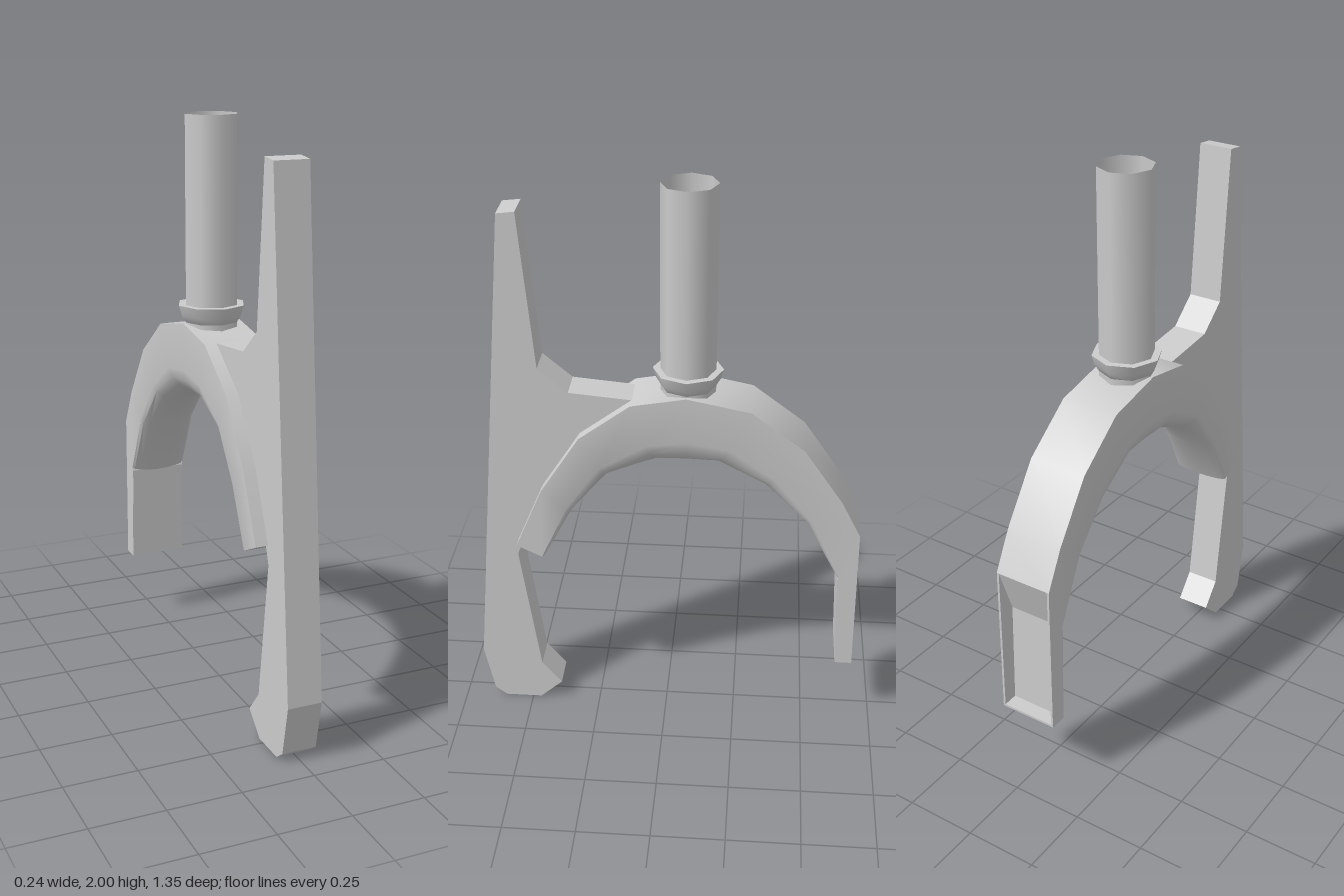
import * as THREE from 'three';
import { toCreasedNormals } from 'three/addons/utils/BufferGeometryUtils.js';

const W = 0.103; // half width of the arch and rear leg
const material = new THREE.MeshStandardMaterial({ color: 0xcccccc, side: THREE.DoubleSide });

function part(name, geometry, parent) {
  const mesh = new THREE.Mesh(geometry, material);
  mesh.name = name;
  parent.add(mesh);
  return mesh;
}

// Side profile of [z, y] points given thickness along x, centred on x
function sidePlate(points, thickness, x = 0) {
  const shape = new THREE.Shape(points.map(([z, y]) => new THREE.Vector2(z, y)));
  const geometry = new THREE.ExtrudeGeometry(shape, { depth: thickness, bevelEnabled: false });
  geometry.translate(0, 0, -thickness / 2);
  geometry.rotateY(-Math.PI / 2);
  return geometry.translate(x, 0, 0);
}

// Arch lofted from stations: flat outside, rounded underside
function archGeometry() {
  // outer z, outer y, inner z, inner y, share of the depth that is rounded
  const stations = [
    [0.52, 0.705, 0.42, 0.657, 0.12],
    [0.425, 0.93, 0.32, 0.84, 0.2],
    [0.29, 1.14, 0.195, 0.98, 0.3],
    [0.115, 1.27, 0.03, 1.038, 0.36],
    [-0.07, 1.303, -0.07, 1.038, 0.38],
    [-0.285, 1.26, -0.17, 1.038, 0.36],
    [-0.465, 1.125, -0.325, 0.965, 0.3],
    [-0.6, 0.93, -0.475, 0.83, 0.2],
    [-0.667, 0.8, -0.6, 0.61, 0.08],
  ];
  const arcSteps = 8;
  const n = arcSteps + 3;
  const positions = [];
  const index = [];
  for (const [oz, oy, iz, iy, round] of stations) {
    const ring = [[-W, 0], [W, 0]];
    for (let k = 0; k <= arcSteps; k++) {
      const a = (k / arcSteps) * Math.PI;
      ring.push([W * Math.cos(a), 1 - round + round * Math.sin(a)]);
    }
    for (const [x, t] of ring) positions.push(x, oy + (iy - oy) * t, oz + (iz - oz) * t);
  }
  const last = (stations.length - 1) * n;
  for (let i = 0; i < last; i += n) {
    for (let j = 0; j < n; j++) {
      const k = (j + 1) % n;
      index.push(i + j, i + k, i + n + j, i + k, i + n + k, i + n + j);
    }
  }
  for (let k = 1; k < n - 1; k++) {
    index.push(0, k + 1, k, last, last + k, last + k + 1);
  }
  const geometry = new THREE.BufferGeometry();
  geometry.setAttribute('position', new THREE.Float32BufferAttribute(positions, 3));
  geometry.setIndex(index);
  return toCreasedNormals(geometry, 0.7);
}

export function createModel() {
  const model = new THREE.Group();
  model.name = 'forkedBracket';

  // Long front blade with hooked foot; its rear edge is buried in the arch
  part('frontBlade', sidePlate([
    [0.53, 1.905], [0.47, 1.912], [0.425, 1.375], [0.325, 1.29], [0.11, 1.27],
    [0.29, 1.05], [0.45, 0.76], [0.505, 0.7], [0.525, 0.64], [0.46, 0.16],
    [0.39, 0.075], [0.47, 0.003], [0.6, 0.003], [0.642, 0.035], [0.677, 0.21],
  ], 0.12), model);

  part('arch', archGeometry(), model);

  // Rear leg: shallow tray, open to the back
  const leg = new THREE.Group();
  leg.name = 'rearLeg';
  model.add(leg);
  const wall = 0.008;
  for (const side of [-1, 1]) {
    part('legCheek', sidePlate(
      [[-0.667, 0.8], [-0.672, 0.26], [-0.613, 0.26], [-0.602, 0.62]],
      wall, side * (W - wall / 2)), leg);
  }
  part('legPanel', sidePlate(
    [[-0.6, 0.615], [-0.612, 0.26], [-0.62, 0.26], [-0.608, 0.64]], 2 * W - 0.002), leg);
  part('legFoot', sidePlate(
    [[-0.612, 0.26], [-0.612, 0.268], [-0.672, 0.268], [-0.672, 0.26]], 2 * W - 0.002), leg);

  // Eight-sided open tube
  const stem = part('stem', new THREE.CylinderGeometry(0.093, 0.093, 0.72, 8, 1, true), model);
  stem.position.set(0, 1.64, -0.07);

  // Flared collar around the foot of the tube
  const collarProfile = [[0.07, 1.295], [0.092, 1.305], [0.108, 1.332], [0.118, 1.366], [0.09, 1.366]]
    .map(([r, y]) => new THREE.Vector2(r, y));
  const collar = part('collar',
    toCreasedNormals(new THREE.LatheGeometry(collarProfile, 8), 0.9), model);
  collar.position.z = -0.07;

  return model;
}
